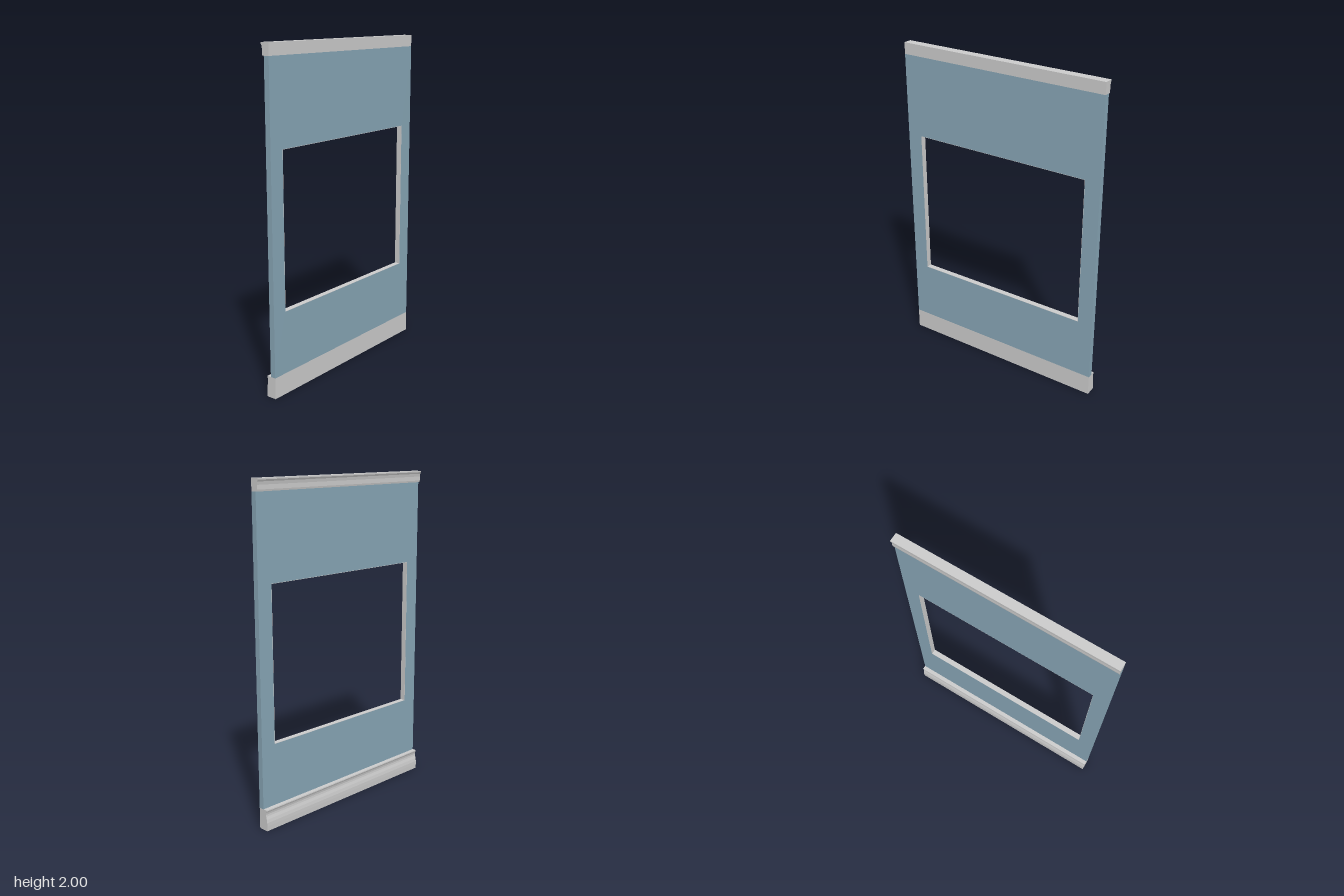
import * as THREE from 'three';

const HALF = 0.667;    // half length along z
const BACK = 0.032;    // flat side of the panel (+x)
const FACE = -0.002;   // moulded side of the panel (-x)

const grey = new THREE.MeshStandardMaterial({ color: 0xcccccc });
const paint = new THREE.MeshStandardMaterial({ color: 0x87a5b5 });

// Rectangle in the (z, y) plane
function rect(path, halfWidth, y0, y1) {
  path.moveTo(-halfWidth, y0);
  path.lineTo(halfWidth, y0);
  path.lineTo(halfWidth, y1);
  path.lineTo(-halfWidth, y1);
  path.closePath();
  return path;
}

// Upright slab with a rectangular opening, thickness along x
function slab(name, outer, inner, material) {
  const shape = rect(new THREE.Shape(), ...outer);
  shape.holes.push(rect(new THREE.Path(), ...inner));
  const geo = new THREE.ExtrudeGeometry(shape, { depth: BACK - FACE, bevelEnabled: false });
  geo.rotateY(-Math.PI / 2).translate(BACK, 0, 0);
  const mesh = new THREE.Mesh(geo, material);
  mesh.name = name;
  return mesh;
}

// Moulding with an (x, y) profile, run along z
function moulding(name, points) {
  const shape = new THREE.Shape(points.map(([x, y]) => new THREE.Vector2(x, y)));
  const geo = new THREE.ExtrudeGeometry(shape, { depth: HALF * 2, bevelEnabled: false });
  geo.translate(0, 0, -HALF);
  const mesh = new THREE.Mesh(geo, grey);
  mesh.name = name;
  return mesh;
}

export function createModel() {
  const group = new THREE.Group();
  group.name = 'windowWall';

  // Painted wall and the thin grey lining of its opening
  const lip = 0.002;
  const opening = [0.57, 0.503, 1.428];
  const cut = [0.57 + lip, 0.503 - lip, 1.428 + lip];
  group.add(slab('wallPanel', [HALF, 0.128, 1.93], cut, paint));
  group.add(slab('windowLining', cut, opening, grey));

  // Skirting: flared foot, hollow neck and small top lip
  group.add(moulding('baseboard', [
    [BACK, 0], [-0.031, 0], [-0.032, 0.03], [-0.032, 0.05], [-0.029, 0.07],
    [-0.024, 0.088], [-0.023, 0.1], [-0.025, 0.112], [-0.029, 0.122],
    [-0.028, 0.128], [BACK, 0.128],
  ]));

  // Crown: overhanging top edge tapering to the wall
  group.add(moulding('crownMoulding', [
    [BACK, 1.93], [-0.012, 1.93], [-0.014, 1.94], [-0.014, 1.965],
    [-0.017, 1.982], [-0.022, 1.992], [-0.022, 2], [BACK, 2],
  ]));

  return group;
}
